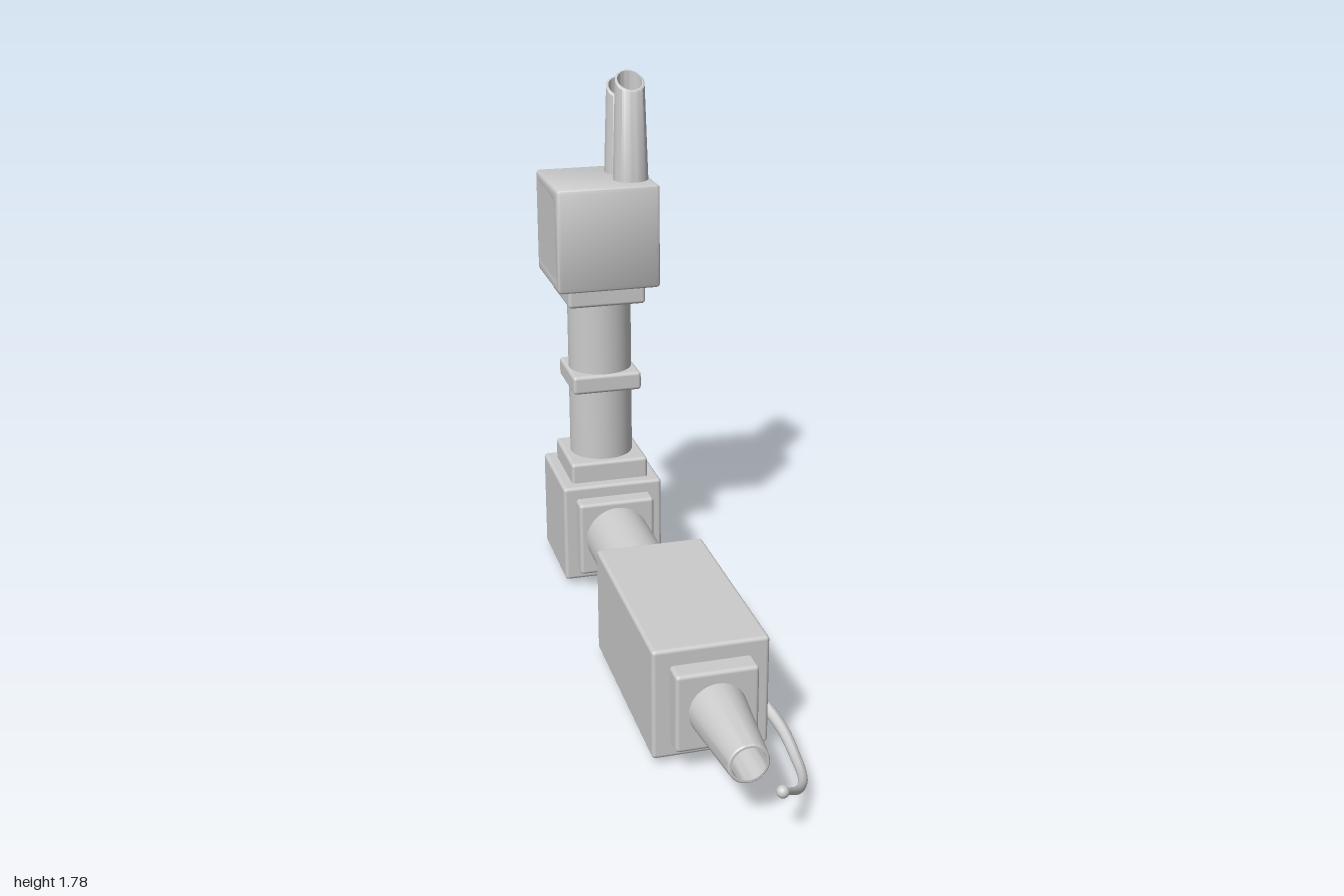
import * as THREE from 'three';
import { RoundedBoxGeometry } from 'three/addons/geometries/RoundedBoxGeometry.js';
import { toCreasedNormals } from 'three/addons/utils/BufferGeometryUtils.js';

const X = -0.04, Y = 0.205, Z = -0.82; // axes of the horizontal and vertical runs
const material = new THREE.MeshStandardMaterial({ color: 0xcccccc });

export function createModel() {
  const group = new THREE.Group();
  const add = (name, geometry, x = 0, y = 0, z = 0) => {
    const mesh = new THREE.Mesh(geometry, material);
    mesh.name = name;
    mesh.position.set(x, y, z);
    group.add(mesh);
    return mesh;
  };
  const box = (name, w, h, d, x, y, z, r = 0.012) =>
    add(name, new RoundedBoxGeometry(w, h, d, 3, r), x, y, z);

  // Hollow tapered tube standing on y = 0, its mouth cut at a slant
  const hollowTube = (r0, r1, wall, height, depth, slant) => {
    const points = [
      [r0, 0], [r1, height - 0.004], [r1 - 0.004, height],
      [r1 - wall, height], [r1 - wall, height - depth], [0, height - depth],
    ].map(([x, y]) => new THREE.Vector2(x, y));
    const geometry = new THREE.LatheGeometry(points, 40);
    const p = geometry.attributes.position;
    for (let i = 0; i < p.count; i++) {
      if (p.getY(i) > height - 0.01) p.setY(i, p.getY(i) - slant * p.getZ(i));
    }
    return toCreasedNormals(geometry, 0.6);
  };

  // Horizontal run
  box('cornerBlock', 0.35, 0.35, 0.353, X, Y, Z);
  box('cornerFrontCollar', 0.265, 0.265, 0.09, X, Y, -0.629);
  add('horizontalPipe', new THREE.CylinderGeometry(0.11, 0.11, 0.42, 48).rotateX(Math.PI / 2), X, Y, -0.39);
  box('bodyRearCollar', 0.272, 0.272, 0.09, X, Y, -0.164);
  box('bodyBlock', 0.35, 0.35, 0.69, X, Y, 0.2);
  box('bodyFrontCollar', 0.247, 0.247, 0.09, X, Y, 0.566);
  add('nozzle', hollowTube(0.088, 0.06, 0.01, 0.3, 0.2, 0).rotateX(Math.PI / 2), X, Y, 0.595);

  // Vertical run
  box('cornerTopCollar', 0.272, 0.09, 0.272, X, 0.406, Z);
  add('verticalPipe', new THREE.CylinderGeometry(0.11, 0.11, 0.62, 48), X, 0.73, Z);
  box('pipeBand', 0.24, 0.065, 0.24, X, 0.733, Z);
  box('upperCollar', 0.267, 0.09, 0.267, X, 1.06, Z);

  // Upper block with a window on its left side
  const roundedRect = (path, half, r) => {
    path.absarc(half - r, half - r, r, 0, Math.PI / 2);
    path.absarc(r - half, half - r, r, Math.PI / 2, Math.PI);
    path.absarc(r - half, r - half, r, Math.PI, Math.PI * 1.5);
    path.absarc(half - r, r - half, r, Math.PI * 1.5, Math.PI * 2);
    path.closePath();
    return path;
  };
  const bevel = 0.012;
  const outline = roundedRect(new THREE.Shape(), 0.176, 0.014);
  outline.holes.push(roundedRect(new THREE.Path(), 0.125, 0.025));
  const shell = new THREE.ExtrudeGeometry(outline, {
    depth: 0.35 - 2 * bevel, bevelThickness: bevel, bevelSize: bevel,
    bevelOffset: -bevel, bevelSegments: 3, curveSegments: 6,
  });
  shell.translate(0, 0, bevel - 0.175).rotateY(Math.PI / 2);
  add('upperBlock', toCreasedNormals(shell, 0.6), X, 1.256, Z);
  add('windowBack', new THREE.BoxGeometry(0.245, 0.29, 0.29), X - 0.0525, 1.256, Z);

  // Twin stacks, running through the window and out of the roof
  for (const [z, top] of [[-0.757, 1.76], [-0.884, 1.72]]) {
    add('stackBase', new THREE.CylinderGeometry(0.063, 0.063, 0.28, 40), 0.062, 1.26, z);
    add('stack', hollowTube(0.061, 0.049, 0.008, top - 1.39, 0.2, 0.62), 0.062, 1.39, z);
  }

  // Curved tapering lever with a ball tip
  const curve = new THREE.CatmullRomCurve3([
    [0.12, 0.092, 0.31], [0.165, 0.075, 0.4], [0.19, 0.048, 0.51], [0.188, 0.027, 0.64],
    [0.165, 0.04, 0.76], [0.115, 0.08, 0.865], [0.025, 0.165, 0.982],
  ].map((p) => new THREE.Vector3(...p)));
  const segments = 48, sides = 12;
  const lever = new THREE.TubeGeometry(curve, segments, 0.021, sides);
  const p = lever.attributes.position, v = new THREE.Vector3();
  for (let i = 0; i < p.count; i++) {
    const t = Math.floor(i / (sides + 1)) / segments;
    const centre = curve.getPointAt(t);
    v.fromBufferAttribute(p, i).sub(centre).multiplyScalar(1 - 0.55 * t).add(centre);
    p.setXYZ(i, v.x, v.y, v.z);
  }
  lever.computeVertexNormals();
  add('lever', lever);
  add('leverTip', new THREE.SphereGeometry(0.018, 20, 14), 0.025, 0.165, 0.982);

  return group;
}
